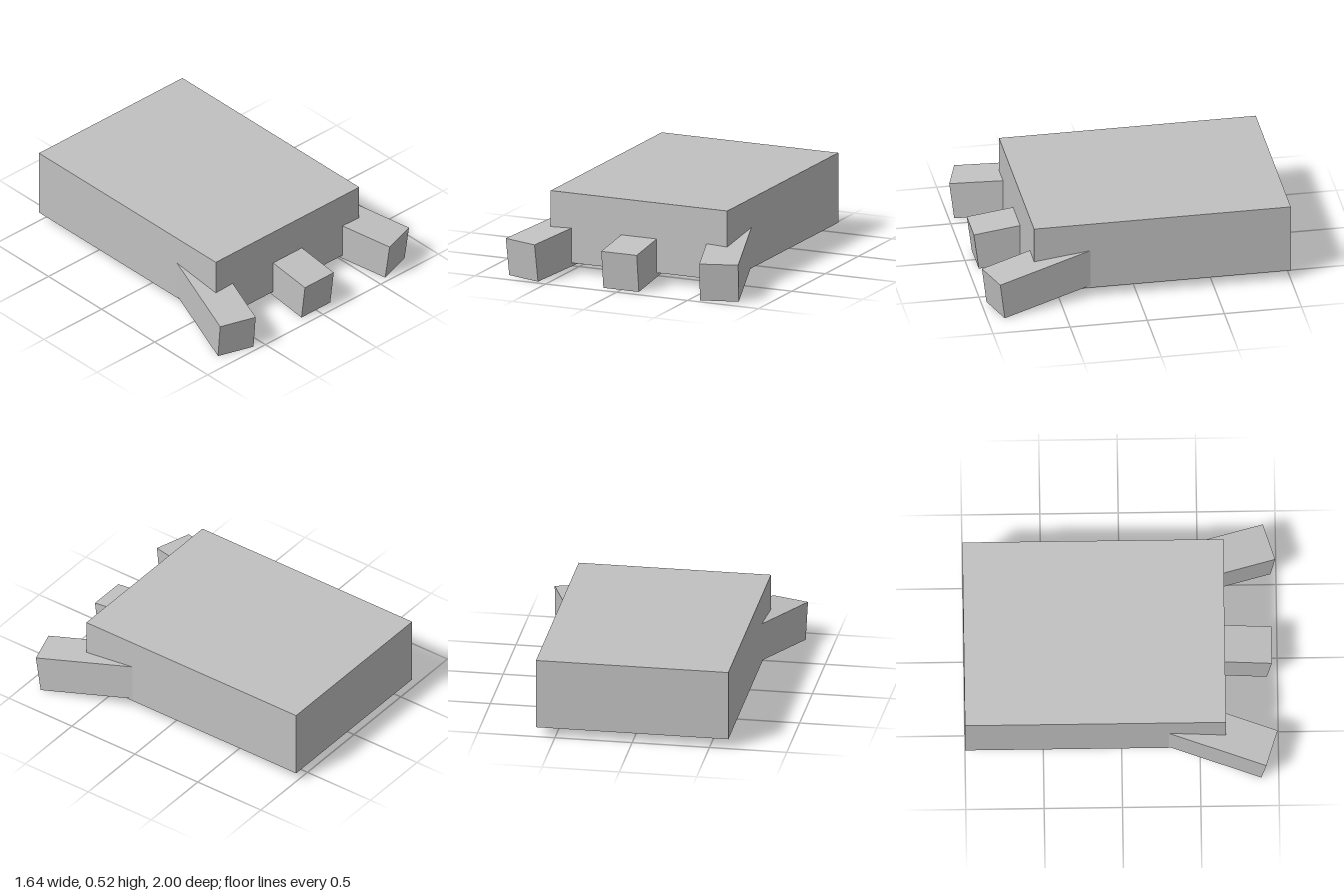
import * as THREE from 'three';

export function createModel() {
  const group = new THREE.Group();
  const grey = new THREE.MeshStandardMaterial({ color: 0xc0c0c0 });
  grey.name = 'light grey';

  // Slab-shaped foot body
  const body = new THREE.Mesh(new THREE.BoxGeometry(1.244, 0.46, 1.665), grey);
  body.name = 'footBody';
  body.position.set(0, 0.295, -0.1675);
  group.add(body);

  // Toes: origin at the middle of the front top edge, running back into the body
  const size = 0.25, length = 0.8, pitch = 0.131, yaw = 0.308;
  const toeGeometry = new THREE.BoxGeometry(size, size, length);
  toeGeometry.translate(0, -size / 2, -length / 2);

  const toes = [
    ['rightToe', -0.7, 0.958, -yaw],
    ['middleToe', 0, 0.965, 0],
    ['leftToe', 0.7, 0.958, yaw],
  ];
  for (const [name, x, z, turn] of toes) {
    const toe = new THREE.Mesh(toeGeometry, grey);
    toe.name = name;
    toe.position.set(x, 0.248, z);
    toe.rotation.set(pitch, turn, 0, 'YXZ'); // slope down, then splay outward
    group.add(toe);
  }
  return group;
}
